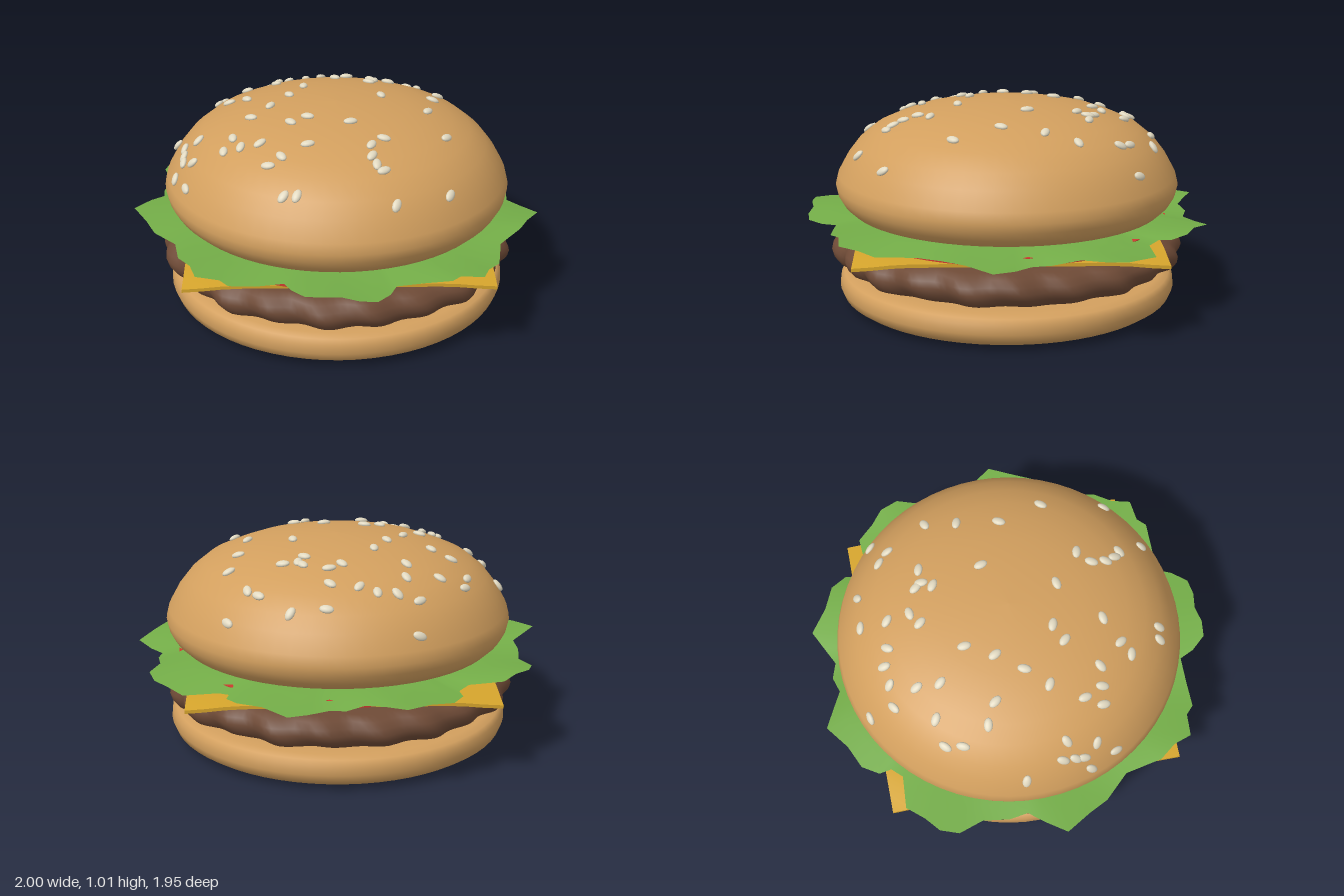
import * as THREE from 'three';
import { mergeVertices, toCreasedNormals } from 'three/addons/utils/BufferGeometryUtils.js';

const paint = (name, color, side = THREE.FrontSide) => {
  const m = new THREE.MeshStandardMaterial({ color, side });
  m.name = name;
  return m;
};

const CENTRE_Z = -0.01;

// Upper bun outline, from underside centre to crown
const TOP_PROFILE = [
  [0, 0.475], [0.74, 0.475], [0.775, 0.48], [0.812, 0.515], [0.835, 0.555], [0.845, 0.6], [0.832, 0.65],
  [0.785, 0.735], [0.73, 0.805], [0.65, 0.87], [0.56, 0.91], [0.465, 0.945], [0.35, 0.97], [0.225, 0.988],
  [0.1, 0.997], [0, 1]
];

// Sesame seed positions, x and z in pairs
const SEEDS = [
  -.33, -.74, .08, -.71, .24, -.7, -.34, -.62, -.24, -.62, -.15, -.63, -.07, -.6, .06, -.58, .38, -.57, .43, -.52,
  .52, -.6, -.29, -.5, -.45, -.44, -.57, -.42, -.59, -.34, -.3, -.39, 0, -.43, .06, -.47, .18, -.42, .2, -.39,
  .27, -.39, .17, -.34, .52, -.32, -.16, -.25, -.53, -.21, -.44, -.16, -.23, -.12, .22, -.1, .48, -.17, -.78, -.08,
  -.32, 0, .44, .03, -.41, .1, -.73, .1, -.66, .13, -.73, .16, -.73, .2, -.77, .23, -.68, .27, -.49, .25,
  -.22, .21, -.14, .17, .06, .23, .51, .25, -.71, .36, -.53, .33, -.45, .34, -.36, .35, .21, .36, -.14, .41,
  .15, .42, .15, .49, -.26, .47, -.32, .51, .17, .54, .2, .57, .5, .57, -.25, .67, -.19, .68, .25, .7
];

// Half outline of the lettuce, from front to back, x and z in pairs
const LEAF = [
  0, .955, .08, .97, .16, .96, .22, .89, .25, .82, .38, .82, .5, .82, .54, .78, .65, .77, .68, .68, .74, .6, .77, .42,
  .88, .3, .93, .2, 1, .08, .93, -.02, .87, -.09, .88, -.18, .86, -.31, .9, -.43, .87, -.52, .8, -.58, .73, -.66,
  .57, -.65, .52, -.7, .53, -.76, .48, -.84, .37, -.89, .26, -.975, .17, -.93, .08, -.885, 0, -.91
];

function lathe(profile, segments = 64) {
  return new THREE.LatheGeometry(profile.map(([x, y]) => new THREE.Vector2(x, y)), segments);
}

// Meat disc whose rim swells in and out
function pattyGeometry() {
  const g = lathe([
    [0, 0.2], [0.7, 0.2], [0.78, 0.2], [0.825, 0.22], [0.85, 0.25], [0.858, 0.28],
    [0.85, 0.31], [0.825, 0.34], [0.78, 0.358], [0.7, 0.362], [0, 0.362]
  ], 160);
  const p = g.attributes.position;
  for (let i = 0; i < p.count; i++) {
    const x = p.getX(i), y = p.getY(i), z = p.getZ(i);
    const a = Math.atan2(x, z), r = Math.hypot(x, z);
    const rim = THREE.MathUtils.smoothstep(r, 0.68, 0.83);
    const s = 1 + rim * (0.016 * Math.sin(22 * a + 14 * y) + 0.01 * Math.sin(9 * a + 1));
    p.setXYZ(i, x * s, y + rim * 0.004 * Math.sin(13 * a), z * s);
  }
  g.deleteAttribute('uv');
  g.deleteAttribute('normal');
  const merged = mergeVertices(g, 1e-4);
  merged.computeVertexNormals();
  return merged;
}

// Thin leaf built from rings that shrink toward the middle
function lettuceGeometry() {
  const rim = [];
  for (let i = 0; i < LEAF.length; i += 2) rim.push([LEAF[i], LEAF[i + 1]]);
  for (let i = rim.length - 2; i > 0; i--) rim.push([-rim[i][0], rim[i][1]]);
  const n = rim.length, pos = [0, 0.452, 0], index = [];
  const rings = [0.7, 0.8, 0.9, 1];
  rings.forEach((f, k) => {
    rim.forEach(([x, z], i) => {
      const a = Math.atan2(x, z), t = k / (rings.length - 1);
      const edge = 0.443 - 0.012 * Math.sin(a) + 0.01 * Math.cos(a) + 0.016 * Math.sin(9 * a + 2.6);
      pos.push(x * f, THREE.MathUtils.lerp(0.452, Math.max(0.412, edge), t), z * f);
      const j = (i + 1) % n, o = 1 + k * n;
      if (k === 0) index.push(0, o + i, o + j);
      else index.push(o - n + i, o + i, o + j, o - n + i, o + j, o - n + j);
    });
  });
  const g = new THREE.BufferGeometry();
  g.setAttribute('position', new THREE.Float32BufferAttribute(pos, 3));
  g.setIndex(index);
  g.computeVertexNormals();
  return g;
}

// Square slice with slightly drooping corners
function cheeseGeometry() {
  const g = new THREE.BoxGeometry(1.44, 0.016, 1.44, 16, 1, 16);
  const p = g.attributes.position;
  for (let i = 0; i < p.count; i++) {
    const r = Math.hypot(p.getX(i), p.getZ(i));
    p.setY(i, p.getY(i) + 0.377 - 0.018 * THREE.MathUtils.smoothstep(r, 0.85, 1.02));
  }
  return toCreasedNormals(g, 0.6);
}

// Height and outward normal of the upper bun at a given radius
function bunSurface(r) {
  for (let i = TOP_PROFILE.length - 1; i > 5; i--) {
    const [x0, y0] = TOP_PROFILE[i], [x1, y1] = TOP_PROFILE[i - 1];
    if (r <= x1) {
      const t = (r - x0) / (x1 - x0);
      return { y: y0 + t * (y1 - y0), slope: (y1 - y0) / (x1 - x0) };
    }
  }
  return { y: 0.6, slope: -4 };
}

export function createModel() {
  const model = new THREE.Group();
  model.name = 'burger';
  const bun = paint('toasted bun', 0xd29f5e);
  const meat = paint('grilled meat', 0x6e4a36);
  const cheese = paint('yellow cheese', 0xd6a52c);
  const tomato = paint('tomato red', 0xcc3a2e);
  const leaf = paint('lettuce green', 0x74ae48, THREE.DoubleSide);
  const sesame = paint('sesame cream', 0xe0d8c0);

  const add = (name, geometry, material, z = CENTRE_Z) => {
    const mesh = new THREE.Mesh(geometry, material);
    mesh.name = name;
    mesh.position.z = z;
    model.add(mesh);
    return mesh;
  };

  // Stacked layers
  add('bottomBun', lathe([
    [0, 0], [0.66, 0.004], [0.72, 0.008], [0.785, 0.02], [0.822, 0.045], [0.838, 0.085],
    [0.833, 0.13], [0.815, 0.152], [0.78, 0.165], [0.72, 0.167], [0, 0.167]
  ]), bun);
  add('patty', pattyGeometry(), meat);
  add('cheeseSlice', cheeseGeometry(), cheese);
  add('tomatoSlice', new THREE.CylinderGeometry(0.79, 0.79, 0.036, 64), tomato).position.y = 0.412;
  add('lettuce', lettuceGeometry(), leaf, 0);
  add('topBun', lathe(TOP_PROFILE), bun);

  // Sesame seeds lying on the crown
  const seeds = new THREE.Group();
  seeds.name = 'sesameSeeds';
  const seedShape = new THREE.SphereGeometry(1, 12, 8).scale(0.034, 0.014, 0.021);
  const up = new THREE.Vector3(0, 1, 0);
  let state = 7;
  const random = () => (state = (state * 16807) % 2147483647) / 2147483647;
  for (let i = 0; i < SEEDS.length; i += 2) {
    const x = SEEDS[i], z = SEEDS[i + 1] - CENTRE_Z, r = Math.hypot(x, z) || 0.001;
    const { y, slope } = bunSurface(r);
    const normal = new THREE.Vector3(-slope * x / r, 1, -slope * z / r).normalize();
    const seed = new THREE.Mesh(seedShape, sesame);
    seed.name = 'sesameSeed';
    seed.position.set(x, y, z).addScaledVector(normal, 0.005);
    seed.quaternion.setFromUnitVectors(up, normal);
    seed.rotateY(random() * Math.PI);
    seeds.add(seed);
  }
  seeds.position.z = CENTRE_Z;
  model.add(seeds);
  return model;
}
